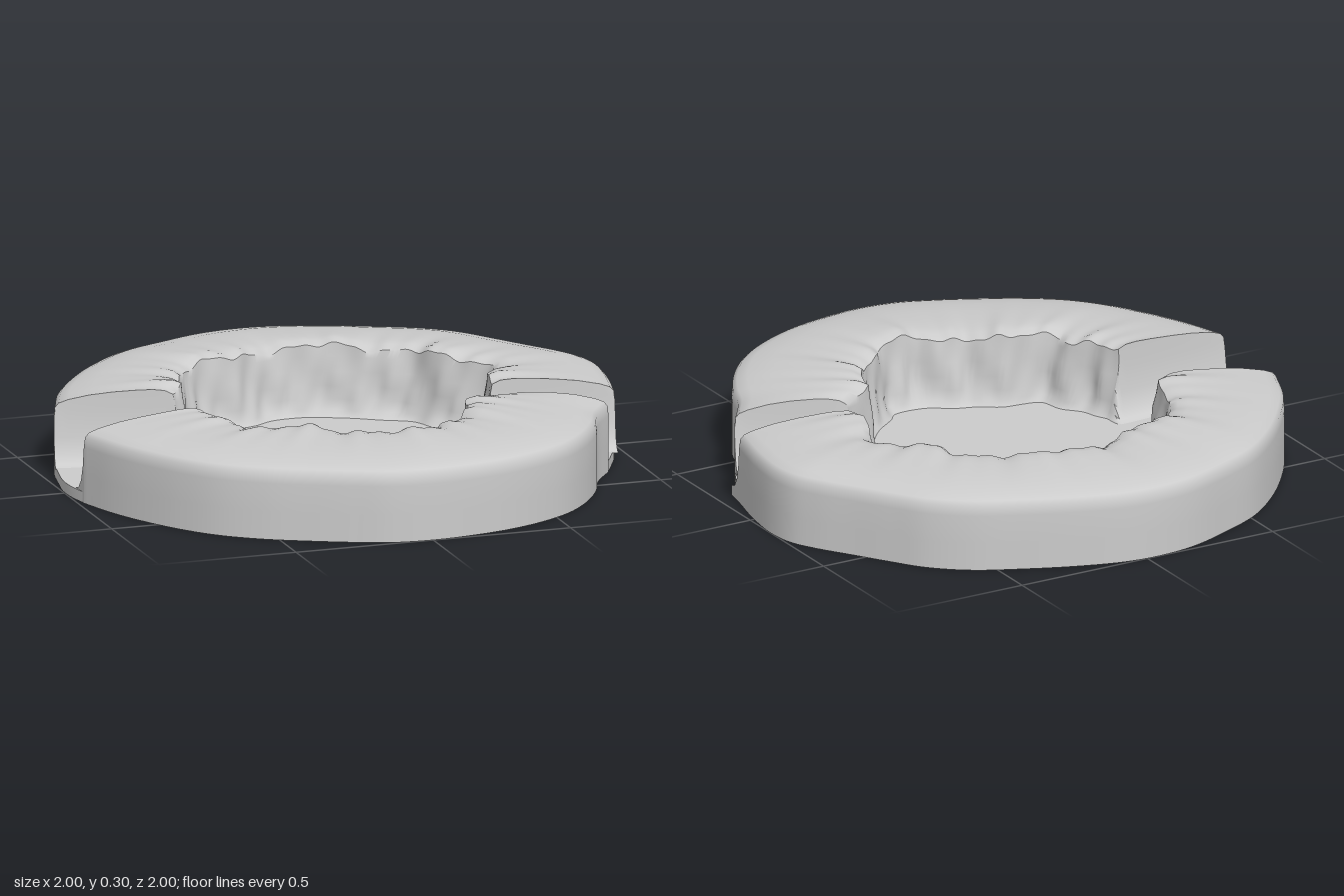
import * as THREE from 'three';
import { toCreasedNormals } from 'three/addons/utils/BufferGeometryUtils.js';

const stone = new THREE.MeshStandardMaterial({ color: 0xcccccc });

// Plan outlines as x, z pairs. Both banks run clockwise seen from above.
const backBank = {
  outer: [-.95, -.26, -.88, -.43, -.78, -.58, -.66, -.72, -.52, -.84, -.36, -.92, -.2, -.98, -.06, -1, .08, -.99,
    .25, -.94, .42, -.87, .58, -.79, .7, -.69, .78, -.58, .86, -.46, .94, -.34, .985, -.25, 1, -.15, .985, 0, .95, .16],
  rim: [-.55, -.16, -.5, -.22, -.47, -.33, -.43, -.42, -.36, -.49, -.3, -.52, -.2, -.53, -.12, -.575, 0, -.605, .1, -.59,
    .18, -.58, .25, -.53, .33, -.49, .42, -.44, .46, -.35, .55, -.25, .62, -.17, .58, -.1, .55, -.03, .53, .08],
  foot: [-.48, -.13, -.44, -.24, -.4, -.36, -.3, -.46, -.15, -.5, -.05, -.55, .08, -.55, .2, -.5, .3, -.44, .4, -.38,
    .45, -.28, .54, -.19, .52, -.08, .49, .08],
};
const frontBank = {
  outer: [.865, .34, .79, .45, .74, .57, .66, .7, .56, .81, .44, .89, .3, .95, .15, .985, 0, 1, -.15, .985, -.27, .94,
    -.4, .88, -.55, .8, -.68, .7, -.78, .58, -.87, .43, -.93, .3, -.98, .15],
  rim: [.49, .21, .37, .27, .35, .35, .28, .45, .19, .52, .15, .57, 0, .59, -.06, .54, -.15, .51, -.22, .45, -.28, .42,
    -.38, .41, -.44, .37, -.45, .3, -.5, .24, -.52, .17, -.54, .12],
  foot: [.45, .21, .34, .26, .32, .33, .25, .42, .16, .49, .12, .53, 0, .53, -.08, .48, -.16, .45, -.24, .4,
    -.38, .37, -.41, .28, -.46, .22, -.48, .16, -.5, .12],
};

// Cross-section: [share of the way outer -> rim, height], then [share rim -> foot, height]
const topProfile = [[0, 0], [0, .1], [0, .2], [.008, .235], [.04, .25], [.12, .262], [.3, .277], [.5, .286],
  [.7, .291], [.83, .292], [.93, .288], [1, .274]];
const wallProfile = [[.1, .24], [.25, .19], [.4, .14], [.55, .095], [.8, .06], [1.1, .042], [1.25, .035]];

// Channel sides: [sideways shift, height limit] for the extra columns beyond each end
const channelSide = [[.08, .035], [.05, .046], [.028, .075], [.012, .13], [.003, .22]];

const toPoints = (list) => {
  const points = [];
  for (let i = 0; i < list.length; i += 2) points.push(new THREE.Vector3(list[i], 0, list[i + 1]));
  return points;
};
const toCurve = (list, closed = false) => new THREE.CatmullRomCurve3(toPoints(list), closed);

const rimNoise = (a) => .010 * Math.sin(a * 9 + 1) + .007 * Math.sin(a * 21 + 2) + .004 * Math.sin(a * 43);
const wallNoise = (a, y) => .14 * Math.sin(a * 17 + y * 22) + .1 * Math.sin(a * 37 - y * 14);

// Sweeps the cross-section along the bank and lets both ends drop into the channels
function makeBank(name, { outer, rim, foot }) {
  const curves = [outer, rim, foot].map((list) => toCurve(list));
  const steps = 150;

  const column = (u, shift = 0, limit = 1) => {
    const [o, r, f] = curves.map((curve) => curve.getPointAt(u));
    const angle = Math.atan2(r.z, r.x);
    const side = new THREE.Vector3(o.z - r.z, 0, r.x - o.x).normalize().multiplyScalar(u < .5 ? shift : -shift);
    const top = topProfile.map(([t, y]) => {
      const p = o.clone().lerp(r, t);
      p.y = y + rimNoise(angle) * Math.pow(t, 3);
      return p;
    });
    const wall = wallProfile.map(([t, y]) => {
      const bulge = wallNoise(angle, y) * Math.sin(Math.min(t, 1) * Math.PI);
      const p = r.clone().lerp(f, t + bulge);
      p.y = y;
      return p;
    });
    return [...top, ...wall].map((p) => {
      p.y = Math.min(p.y, limit);
      return p.add(side);
    });
  };

  const columns = channelSide.map(([shift, limit]) => column(0, shift, limit));
  for (let i = 0; i <= steps; i++) columns.push(column(i / steps));
  for (const [shift, limit] of [...channelSide].reverse()) columns.push(column(1, shift, limit));

  const rows = columns[0].length;
  const positions = columns.flat().flatMap((p) => [p.x, p.y, p.z]);
  const index = [];
  for (let i = 0; i < columns.length - 1; i++) {
    for (let k = 0; k < rows - 1; k++) {
      const a = i * rows + k;
      const b = a + rows;
      index.push(a, a + 1, b, a + 1, b + 1, b);
    }
  }
  const geometry = new THREE.BufferGeometry();
  geometry.setAttribute('position', new THREE.Float32BufferAttribute(positions, 3));
  geometry.setIndex(index);
  const mesh = new THREE.Mesh(toCreasedNormals(geometry, .8), stone);
  mesh.name = name;
  return mesh;
}

// Thin slab that forms the basin floor, the channel beds and the underside
function makeFloor() {
  const outline = toCurve([...frontBank.outer, -1, 0, -.98, -.13, ...backBank.outer, .91, .25], true);
  const shape = new THREE.Shape(outline.getSpacedPoints(160).slice(0, -1)
    .map((p) => new THREE.Vector2(p.x * .998, p.z * .998)));
  const geometry = new THREE.ExtrudeGeometry(shape, { depth: .038, bevelEnabled: false });
  geometry.rotateX(Math.PI / 2);
  geometry.translate(0, .038, 0);
  const mesh = new THREE.Mesh(toCreasedNormals(geometry, .6), stone);
  mesh.name = 'basinFloor';
  return mesh;
}

export function createModel() {
  const group = new THREE.Group();
  group.name = 'rockRing';
  group.add(makeFloor(), makeBank('backBank', backBank), makeBank('frontBank', frontBank));
  return group;
}
